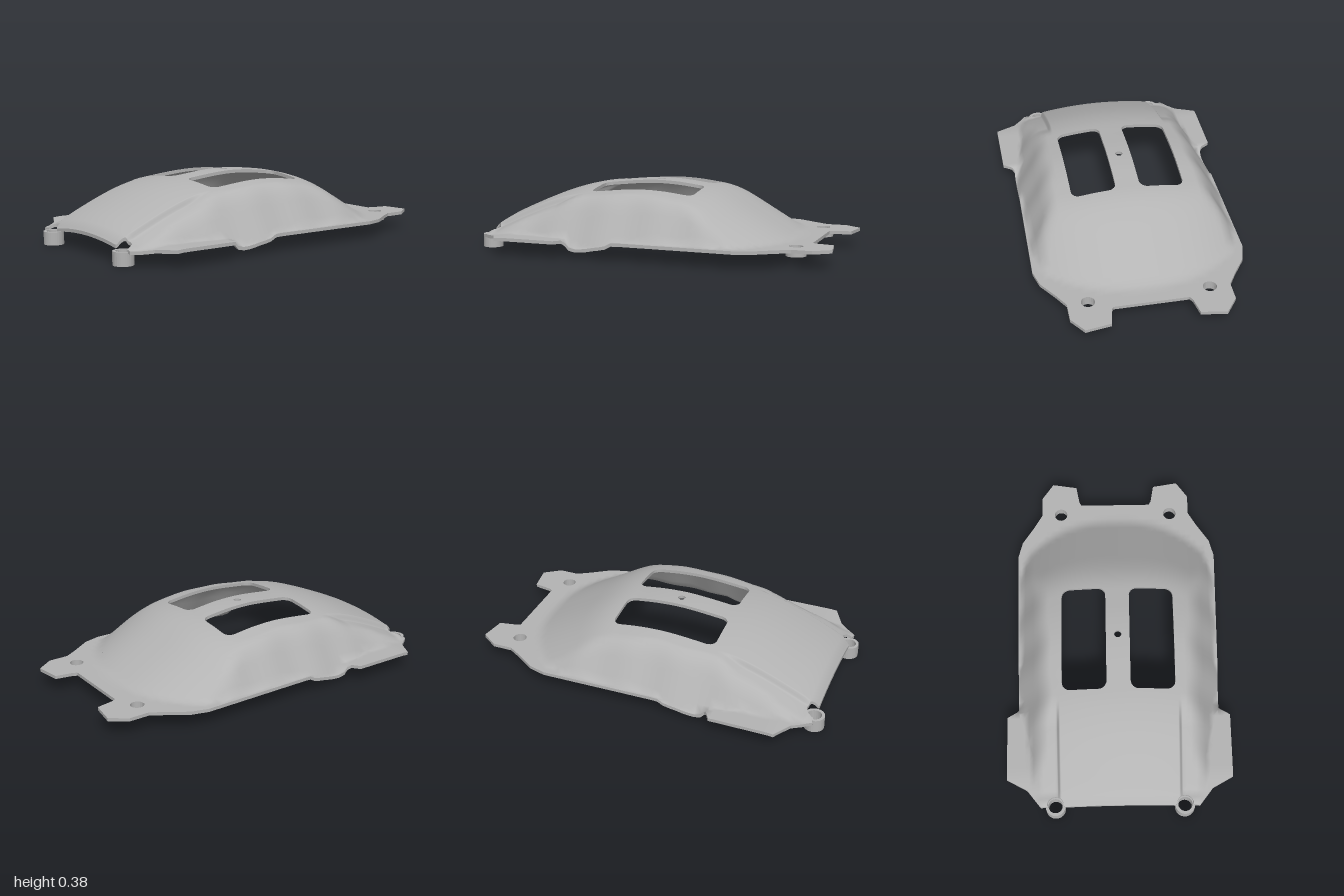
import * as THREE from 'three';

const THICK = 0.018;
const smin = (a, b, k) => {
  const h = Math.max(k - Math.abs(a - b), 0) / k;
  return Math.min(a, b) - h * h * k / 4;
};
const smax = (a, b, k) => -smin(-a, -b, k);
const step = (x, a, b) => THREE.MathUtils.smoothstep(x, a, b);

// Smooth lookup through [x, value] points
function curve(pts) {
  const tangent = i => {
    const a = pts[Math.max(i - 1, 0)], b = pts[Math.min(i + 1, pts.length - 1)];
    return (b[1] - a[1]) / (b[0] - a[0]);
  };
  return x => {
    let i = 0;
    while (i < pts.length - 2 && x > pts[i + 1][0]) i++;
    const [x0, y0] = pts[i], [x1, y1] = pts[i + 1], d = x1 - x0;
    const t = THREE.MathUtils.clamp((x - x0) / d, 0, 1), t2 = t * t, t3 = t2 * t;
    return y0 * (2 * t3 - 3 * t2 + 1) + y1 * (3 * t2 - 2 * t3)
      + d * (tangent(i) * (t3 - 2 * t2 + t) + tangent(i + 1) * (t3 - t2));
  };
}

const crest = curve([[-0.96, 0.112], [-0.92, 0.155], [-0.8, 0.217], [-0.6, 0.3], [-0.45, 0.342],
  [-0.3, 0.362], [-0.1, 0.38], [0.05, 0.377], [0.2, 0.36], [0.35, 0.343], [0.55, 0.3], [1, 0.2]]);
const footZ = curve([[-0.95, 0.45], [-0.8, 0.48], [-0.45, 0.52], [-0.28, 0.538], [-0.1, 0.55],
  [0.3, 0.555], [0.52, 0.535], [0.75, 0.51]]);

// Height of the upper skin: crowned roof, side walls, sloping end and flat flange
function height(x, z) {
  const w = Math.abs(z);
  const shoulder = 0.03 * step(w, 0.323, 0.342) * (1 - step(x, -0.56, -0.4)) * step(x, -0.95, -0.88);
  const roof = crest(x) - 0.27 * w * w - shoulder;
  const side = 0.1 + 1.75 * (footZ(x) + 0.005 * Math.sin(x * 22) - w);
  const end = 0.1 + 0.575 * (0.745 - 0.22 * Math.pow(w / 0.52, 2.5) - x);
  const dip = 0.047 * step(x, -0.43, -0.37) * (1 - step(x, -0.22, -0.13));
  const flange = 0.1 - 0.02 * (1 - step(x, -0.95, -0.75)) - dip;
  return smax(smin(smin(roof, side, 0.07), end, 0.05), flange, 0.02);
}

function circlePath(x, y, r) {
  return new THREE.Path(Array.from({ length: 20 }, (_, i) => {
    const a = -i * Math.PI / 10;
    return new THREE.Vector2(x + r * Math.cos(a), y + r * Math.sin(a));
  }));
}

function windowPath(x0, x1, y0, y1, r) {
  const p = new THREE.Path();
  p.absarc(x1 - r, y1 - r, r, 0, Math.PI / 2);
  p.absarc(x0 + r, y1 - r, r, Math.PI / 2, Math.PI);
  p.absarc(x0 + r, y0 + r, r, Math.PI, Math.PI * 1.5);
  p.absarc(x1 - r, y0 + r, r, Math.PI * 1.5, Math.PI * 2);
  return p;
}

// Plan of the cover with its openings
function planShape() {
  const half = [[0.86, 0.2], [0.88, 0.212], [0.978, 0.23], [1, 0.368], [0.91, 0.432], [0.8, 0.432],
    [0.72, 0.48], [0.62, 0.548], [0.525, 0.574], [-0.405, 0.562], [-0.42, 0.575], [-0.448, 0.622],
    [-0.8, 0.622], [-0.86, 0.51], [-0.955, 0.435]];
  // Round bite beside each corner boss
  for (let i = 0; i <= 10; i++) {
    const a = Math.PI * (0.5 - i / 10);
    half.push([-0.95 + 0.047 * Math.cos(a), 0.355 + 0.047 * Math.sin(a)]);
  }
  half.push([-0.955, 0.3]);
  const all = [...half, ...half.map(([x, y]) => [x, -y]).reverse()];
  const shape = new THREE.Shape(all.map(([x, y]) => new THREE.Vector2(x, y)));
  shape.holes.push(circlePath(-0.06, 0, 0.02));
  for (const s of [-1, 1]) {
    shape.holes.push(circlePath(0.8, s * 0.322, 0.037));
    shape.holes.push(windowPath(-0.365, 0.225, s * 0.1875 - 0.122, s * 0.1875 + 0.122, 0.045));
  }
  return shape;
}

// Cut a convex polygon in two along a grid line of one axis
function cut(poly, axis, line) {
  const low = [], high = [];
  poly.forEach((a, i) => {
    const b = poly[(i + 1) % poly.length];
    if (a[axis] <= line) low.push(a);
    if (a[axis] >= line) high.push(a);
    if ((a[axis] - line) * (b[axis] - line) < 0) {
      const [p, q] = a[axis] < b[axis] ? [a, b] : [b, a];
      const other = 1 - axis, m = [];
      m[axis] = line;
      m[other] = p[other] + (q[other] - p[other]) * (line - p[axis]) / (q[axis] - p[axis]);
      low.push(m);
      high.push(m);
    }
  });
  return [low, high];
}

// Slice the plan along grid lines, closer together at the shoulder steps
function gridTriangles(shape) {
  const flat = new THREE.ShapeGeometry(shape, 3), p = flat.attributes.position, idx = flat.index.array;
  const round = v => Math.round(v * 1e6) / 1e6;
  let polys = [];
  for (let i = 0; i < idx.length; i += 3)
    polys.push([0, 1, 2].map(k => [round(p.getX(idx[i + k])), round(p.getY(idx[i + k]))]));
  const xLines = Array.from({ length: 57 }, (_, i) => -0.9801 + i * 0.035);
  const zLines = [];
  for (let z = 0.0131; z < 0.63; z += 0.027) zLines.push(z, -z);
  for (const z of [0.3231, 0.3281, 0.3331, 0.3421]) zLines.push(z, -z);
  [xLines, zLines].forEach((lines, axis) => {
    for (const line of lines) {
      polys = polys.flatMap(poly => {
        const v = poly.map(q => q[axis]);
        return Math.min(...v) < line && Math.max(...v) > line ? cut(poly, axis, line) : [poly];
      });
    }
  });
  return polys.flatMap(q => q.slice(2).map((c, i) => [q[0], q[i + 1], c]));
}

function skinGeometry(tris, lower) {
  const pos = [], nor = [], e = 0.003, s = lower ? -1 : 1;
  for (const t of tris) {
    for (const [x, v] of lower ? [t[0], t[2], t[1]] : t) {
      const z = -v;
      pos.push(x, height(x, z) - (lower ? THICK : 0), z);
      const n = new THREE.Vector3((height(x - e, z) - height(x + e, z)) / (2 * e), 1,
        (height(x, z - e) - height(x, z + e)) / (2 * e)).normalize().multiplyScalar(s);
      nor.push(n.x, n.y, n.z);
    }
  }
  const g = new THREE.BufferGeometry();
  g.setAttribute('position', new THREE.Float32BufferAttribute(pos, 3));
  g.setAttribute('normal', new THREE.Float32BufferAttribute(nor, 3));
  return g;
}

// Walls joining both skins along every open edge
function rimGeometry(tris) {
  const key = q => q.map(v => Math.round(v * 1e7)).join();
  const edges = new Map();
  for (const t of tris) for (let k = 0; k < 3; k++) {
    const a = t[k], b = t[(k + 1) % 3];
    if (!edges.delete(key(b) + '|' + key(a))) edges.set(key(a) + '|' + key(b), [a, b]);
  }
  const pos = [];
  for (const [a, b] of edges.values()) {
    const [ya, yb] = [height(a[0], -a[1]), height(b[0], -b[1])];
    const A = [a[0], ya, -a[1]], B = [b[0], yb, -b[1]];
    const C = [a[0], ya - THICK, -a[1]], D = [b[0], yb - THICK, -b[1]];
    pos.push(...A, ...C, ...B, ...B, ...C, ...D);
  }
  const g = new THREE.BufferGeometry();
  g.setAttribute('position', new THREE.Float32BufferAttribute(pos, 3));
  g.computeVertexNormals();
  return g;
}

export function createModel() {
  const group = new THREE.Group();
  group.name = 'protectiveCover';
  const grey = new THREE.MeshStandardMaterial({ color: 0xb4b4b4 });
  grey.name = 'grey';
  const add = (name, geometry) => {
    const mesh = new THREE.Mesh(geometry, grey);
    mesh.name = name;
    group.add(mesh);
    return mesh;
  };

  const tris = gridTriangles(planShape());
  add('upperSkin', skinGeometry(tris, false));
  add('lowerSkin', skinGeometry(tris, true));
  add('rim', rimGeometry(tris));

  // Hollow mounting bosses
  const boss = (name, x, z, y0, y1, inner) => {
    const ring = new THREE.Shape().absarc(0, 0, 0.055, 0, Math.PI * 2);
    ring.holes.push(circlePath(0, 0, inner));
    const g = new THREE.ExtrudeGeometry(ring, { depth: y1 - y0, bevelEnabled: false, curveSegments: 16 });
    g.rotateX(-Math.PI / 2);
    add(name, g).position.set(x, y0, z);
  };
  for (const s of [-1, 1]) {
    boss('cornerBoss', -0.945, s * 0.355, 0, 0.072, 0.039);
    boss('tabBoss', 0.8, s * 0.322, 0.05, 0.084, 0.037);
  }
  return group;
}
